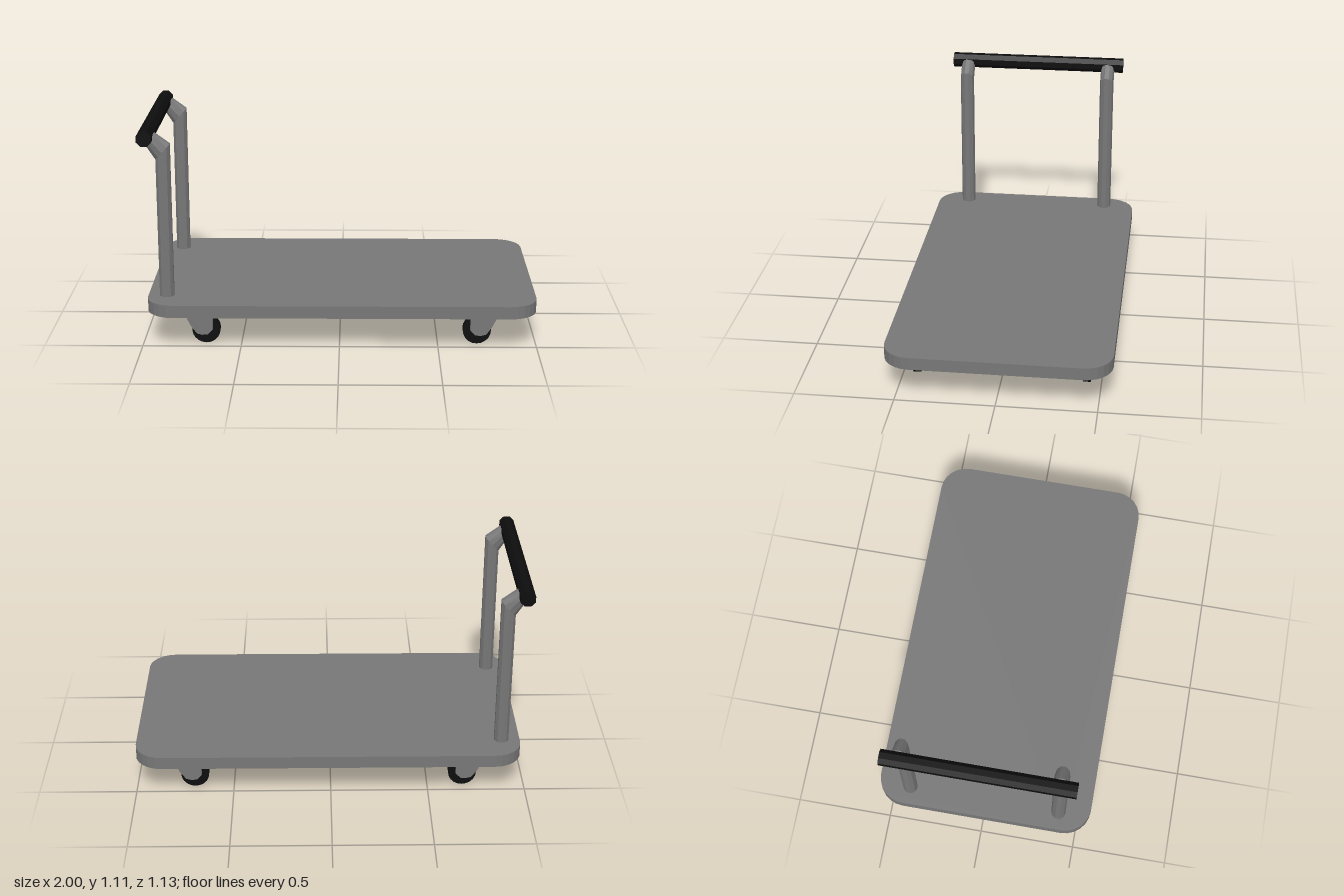
import * as THREE from 'three';

const grey = new THREE.MeshStandardMaterial({ color: 0x777777, flatShading: true });
const black = new THREE.MeshStandardMaterial({ color: 0x0d0d0d, flatShading: true });

function part(name, geometry, material, x = 0, y = 0, z = 0) {
  const mesh = new THREE.Mesh(geometry, material);
  mesh.name = name;
  mesh.position.set(x, y, z);
  return mesh;
}

// Flat board with rounded corners
function deckGeometry(x0, x1, hz, r, height) {
  const s = new THREE.Shape();
  s.absarc(x1 - r, hz - r, r, 0, Math.PI / 2);
  s.absarc(x0 + r, hz - r, r, Math.PI / 2, Math.PI);
  s.absarc(x0 + r, r - hz, r, Math.PI, Math.PI * 1.5);
  s.absarc(x1 - r, r - hz, r, Math.PI * 1.5, Math.PI * 2);
  s.closePath();
  const g = new THREE.ExtrudeGeometry(s, { depth: height, bevelEnabled: false, curveSegments: 3 });
  return g.rotateX(-Math.PI / 2);
}

// Upright tube with a mitred bend towards the handle
function postGeometry() {
  const r = 0.038;
  const g = new THREE.CylinderGeometry(r, r, 1, 10, 2);
  g.rotateY(Math.PI / 10 * 5);
  g.rotateY(Math.PI / 2);
  const p = g.attributes.position;
  for (let i = 0; i < p.count; i++) {
    const x = p.getX(i), level = Math.round(p.getY(i) * 2);
    if (level < 0) p.setXY(i, x - 0.88, 0.235);
    else if (level === 0) p.setXY(i, x - 0.88, 0.995 + x * 1.08);
    else p.setXY(i, -0.945 + x * 0.7, 1.065 + x * 0.7);
  }
  // turn the facets so a corner points along z
  g.computeVertexNormals();
  return g;
}

// Caster: crown plate, two cheek plates, wheel and axle; +x is the swept side
function caster() {
  const group = new THREE.Group();
  group.name = 'caster';
  const outline = [[-0.035, 0.176], [0.105, 0.176], [0.105, 0.157], [0.077, 0.1],
    [0.046, 0.057], [0.02, 0.05], [-0.01, 0.052], [-0.035, 0.08]];
  const cheek = new THREE.Shape(outline.map(([x, y]) => new THREE.Vector2(x, y)));
  const cheekGeo = new THREE.ExtrudeGeometry(cheek, { depth: 0.017, bevelEnabled: false });
  for (const z of [-0.0425, 0.0255]) group.add(part('forkCheek', cheekGeo, grey, 0, 0, z));
  group.add(part('forkCrown', new THREE.BoxGeometry(0.14, 0.016, 0.085), grey, 0.035, 0.168, 0));
  const wheel = new THREE.CylinderGeometry(0.072, 0.072, 0.037, 20).rotateX(Math.PI / 2);
  group.add(part('wheel', wheel, black, 0, 0.072, 0));
  const axle = new THREE.CylinderGeometry(0.012, 0.012, 0.06, 8).rotateX(Math.PI / 2);
  group.add(part('axle', axle, grey, 0, 0.072, 0));
  return group;
}

export function createModel() {
  const model = new THREE.Group();
  model.name = 'platformTrolley';

  model.add(part('deck', deckGeometry(-0.975, 1, 0.565, 0.14, 0.065), grey, 0, 0.175, 0));

  // Push handle
  const post = postGeometry();
  for (const side of [-1, 1]) model.add(part('handlePost', post, grey, 0, 0, side * 0.397));
  const bar = new THREE.CylinderGeometry(0.0405, 0.0405, 0.964, 8)
    .rotateY(Math.PI / 8).rotateX(Math.PI / 2);
  model.add(part('handleGrip', bar, black, -0.9625, 1.0755, 0));

  // Casters swept towards both ends
  for (const end of [-1, 1]) {
    for (const side of [-1, 1]) {
      const c = caster();
      c.position.set(0.01 + end * 0.69, 0, side * 0.428);
      if (end < 0) c.rotation.y = Math.PI;
      model.add(c);
    }
  }
  return model;
}
